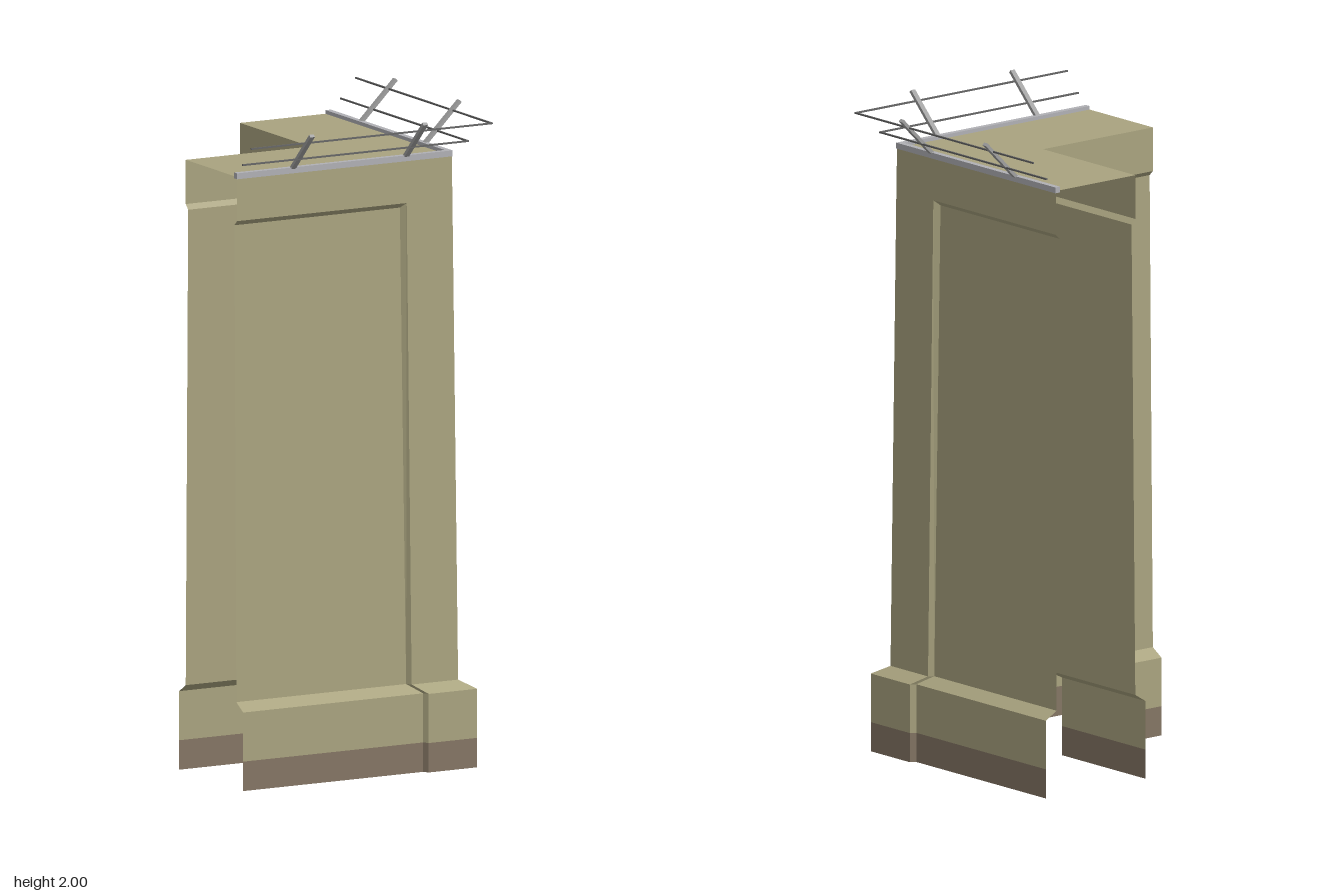
import * as THREE from 'three';

const END = -0.43, TOP = 1.87, LEDGE = 1.735;

const flat = (name, color) => {
  const m = new THREE.MeshStandardMaterial({ color, side: THREE.DoubleSide });
  m.name = name;
  return m;
};

// Mesh made of separate flat quads, corners counter-clockwise
function quadMesh(name, quads, material) {
  const pos = [];
  for (const [a, b, c, d] of quads) pos.push(...a, ...b, ...c, ...a, ...c, ...d);
  const g = new THREE.BufferGeometry();
  g.setAttribute('position', new THREE.Float32BufferAttribute(pos, 3));
  g.computeVertexNormals();
  const mesh = new THREE.Mesh(g, material);
  mesh.name = name;
  return mesh;
}

function box(name, w, h, d, x, y, z, material) {
  const mesh = new THREE.Mesh(new THREE.BoxGeometry(w, h, d), material);
  mesh.position.set(x, y, z);
  mesh.name = name;
  return mesh;
}

// One wing of the corner: its outside faces +z and its far end is at END.
// shift moves the edge of the corner pier along the wing.
function buildWing(shift, mats) {
  const wing = new THREE.Group();

  // Rows from the ground up: panel edge [x, y, z] and pier edge [x, y, z]
  const rows = [
    [[0.19, 0, 0.35], [0.2, 0, 0.367]],
    [[0.19, 0.09, 0.35], [0.2, 0.09, 0.367]],
    [[0.19, 0.24, 0.35], [0.2, 0.24, 0.367]],
    [[0.155, 0.265, 0.309], [0.165, 0.265, 0.325]],
    [[0.14, 1.72, 0.297], [0.155, LEDGE, 0.3125]],
  ].map(([p, q]) => [[p[0] + shift, p[1], p[2]], [q[0] + shift, q[1], q[2]]]);

  const panel = [], pier = [];
  for (let i = 0; i < rows.length - 1; i++) {
    const [p0, q0] = rows[i], [p1, q1] = rows[i + 1];
    panel.push([[END, p0[1], p0[2]], p0, p1, [END, p1[1], p1[2]]]);
    pier.push([p0, q0, q1, p1]);
    pier.push([q0, [q0[2], q0[1], q0[2]], [q1[2], q1[1], q1[2]], q1]);
  }
  // Header with its sloped underside
  const [pTop, qTop] = rows[4];
  const header = [
    [[END, pTop[1], pTop[2]], pTop, qTop, [END, LEDGE, qTop[2]]],
    [[END, LEDGE, 0.3125], [0.3125, LEDGE, 0.3125], [0.311, TOP, 0.311], [END, TOP, 0.311]],
  ];

  // Inside wall, mitred into the inner corner
  const profile = [[0, -0.04], [0.09, -0.04], [0.24, -0.04], [0.265, 0], [1.72, 0.015], [LEDGE, 0], [TOP, 0]];
  const inner = [];
  for (let i = 0; i < profile.length - 1; i++) {
    const [y0, d0] = profile[i], [y1, d1] = profile[i + 1];
    inner.push([[d0, y0, d0], [END, y0, d0], [END, y1, d1], [d1, y1, d1]]);
  }

  wing.add(
    quadMesh('outerFooting', [panel[0], pier[0], pier[1]], mats.footing),
    quadMesh('innerFooting', [inner[0]], mats.footing),
    quadMesh('wallPanel', panel.slice(1), mats.wall),
    quadMesh('cornerPier', pier.slice(2), mats.wall),
    quadMesh('header', header, mats.wall),
    quadMesh('innerWall', inner.slice(1), mats.wall),
  );

  // Roof edge trim
  wing.add(box('roofTrim', 0.313 - END, 0.018, 0.018, (0.313 + END) / 2, 1.872, 0.304, mats.trim));

  // Leaning railing posts
  for (const x of [-0.235, 0.155]) {
    const post = box('railingPost', 0.016, 0.168, 0.01, x, 1.9365, 0.366, mats.post);
    post.rotation.x = Math.PI / 4;
    wing.add(post);
  }
  // Railing wires
  for (const [y, d] of [[1.912, 0.347], [1.97, 0.399]]) {
    const end = d + 0.0025;
    wing.add(box('railingWire', end - END, 0.005, 0.005, (end + END) / 2, y, d, mats.wire));
  }
  return wing;
}

export function createModel() {
  const mats = {
    wall: flat('wall khaki', 0xa9a37f),
    footing: flat('footing brown', 0x847564),
    trim: flat('trim grey', 0xb0b0b5),
    post: flat('post grey', 0xa0a0a0),
    wire: flat('wire grey', 0x666666),
  };
  const model = new THREE.Group();
  model.name = 'cornerWall';

  const frontWing = buildWing(0, mats);
  frontWing.name = 'frontWing';
  // The second wing is the first mirrored across the diagonal
  const sideWing = buildWing(-0.015, mats);
  sideWing.name = 'sideWing';
  sideWing.scale.x = -1;
  sideWing.rotation.y = Math.PI / 2;
  model.add(frontWing, sideWing);

  // L-shaped roof
  const e = 0.311;
  const shape = new THREE.Shape(
    [[END, -e], [e, -e], [e, -END], [0, -END], [0, 0], [END, 0]].map(([x, y]) => new THREE.Vector2(x, y)));
  const roof = new THREE.Mesh(new THREE.ShapeGeometry(shape).rotateX(-Math.PI / 2), mats.wall);
  roof.position.y = TOP;
  roof.name = 'roof';
  model.add(roof);
  return model;
}
